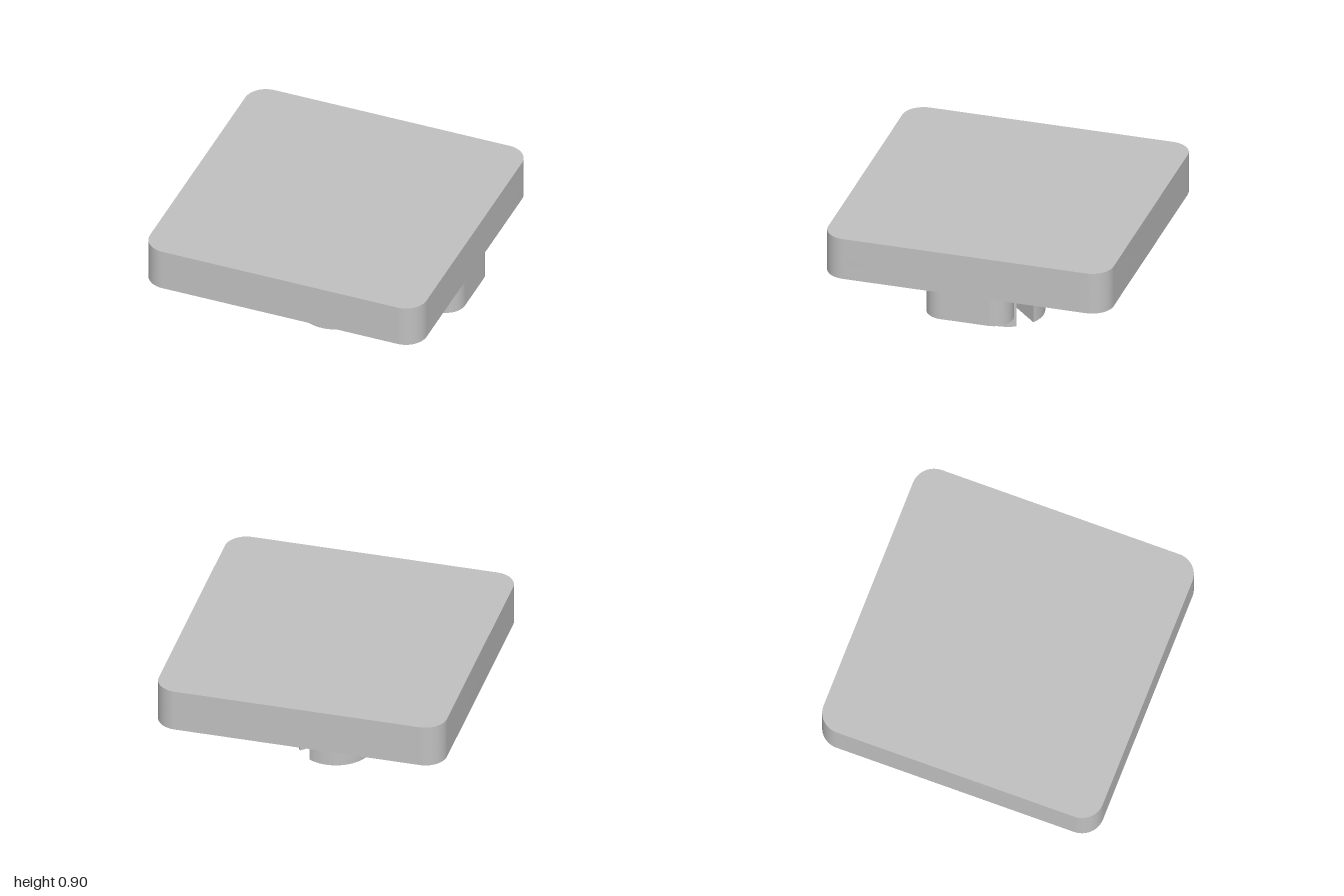
import * as THREE from 'three';
import { toCreasedNormals } from 'three/addons/utils/BufferGeometryUtils.js';

const grey = new THREE.MeshStandardMaterial({ color: 0xc0c0c0 });
grey.name = 'grey';

// Rounded rectangle in plan (shape x = x, shape y = z)
function roundedRect(path, cx, halfX, halfZ, r) {
  path.absarc(cx + halfX - r, halfZ - r, r, 0, Math.PI / 2);
  path.absarc(cx - halfX + r, halfZ - r, r, Math.PI / 2, Math.PI);
  path.absarc(cx - halfX + r, -halfZ + r, r, Math.PI, Math.PI * 1.5);
  path.absarc(cx + halfX - r, -halfZ + r, r, Math.PI * 1.5, Math.PI * 2);
  path.closePath();
  return path;
}

// Extrude a plan shape vertically between two heights
function slab(name, shape, bottom, top) {
  const geo = new THREE.ExtrudeGeometry(shape, {
    depth: top - bottom, bevelEnabled: false, curveSegments: 24,
  });
  geo.rotateX(Math.PI / 2);
  geo.translate(0, top, 0);
  const mesh = new THREE.Mesh(toCreasedNormals(geo, 0.5), grey);
  mesh.name = name;
  return mesh;
}

export function createModel() {
  const model = new THREE.Group();
  model.name = 'buttonCap';
  const floor = 0.7; // ceiling of the pocket under the plate

  // Plate, with a shallow pocket framed by a rim underneath
  model.add(slab('plate', roundedRect(new THREE.Shape(), 0, 1, 1, 0.15), floor, 0.9));
  const rim = roundedRect(new THREE.Shape(), 0, 1, 1, 0.15);
  rim.holes.push(roundedRect(new THREE.Path(), 0, 0.75, 0.75, 0.1));
  model.add(slab('rim', rim, 0.6, floor));

  // Round post split by a diagonal slot
  const radius = 0.25;
  const span = Math.PI / 2 - Math.asin(0.064 / radius);
  for (const [name, mid] of [['postHalfFront', Math.PI / 4], ['postHalfBack', Math.PI * 1.25]]) {
    const half = new THREE.Shape();
    half.absarc(0, 0, radius, mid - span, mid + span);
    half.closePath();
    model.add(slab(name, half, 0, floor));
  }

  // Round-ended tab on the left edge, with its root inside the pocket
  model.add(slab('tab', roundedRect(new THREE.Shape(), 0.865, 0.135, 0.3, 0.1349), 0.4, 0.6));
  const root = new THREE.Mesh(new THREE.BoxGeometry(0.03, 0.1, 0.33), grey);
  root.position.set(0.745, 0.65, 0);
  root.name = 'tabRoot';
  model.add(root);

  return model;
}
